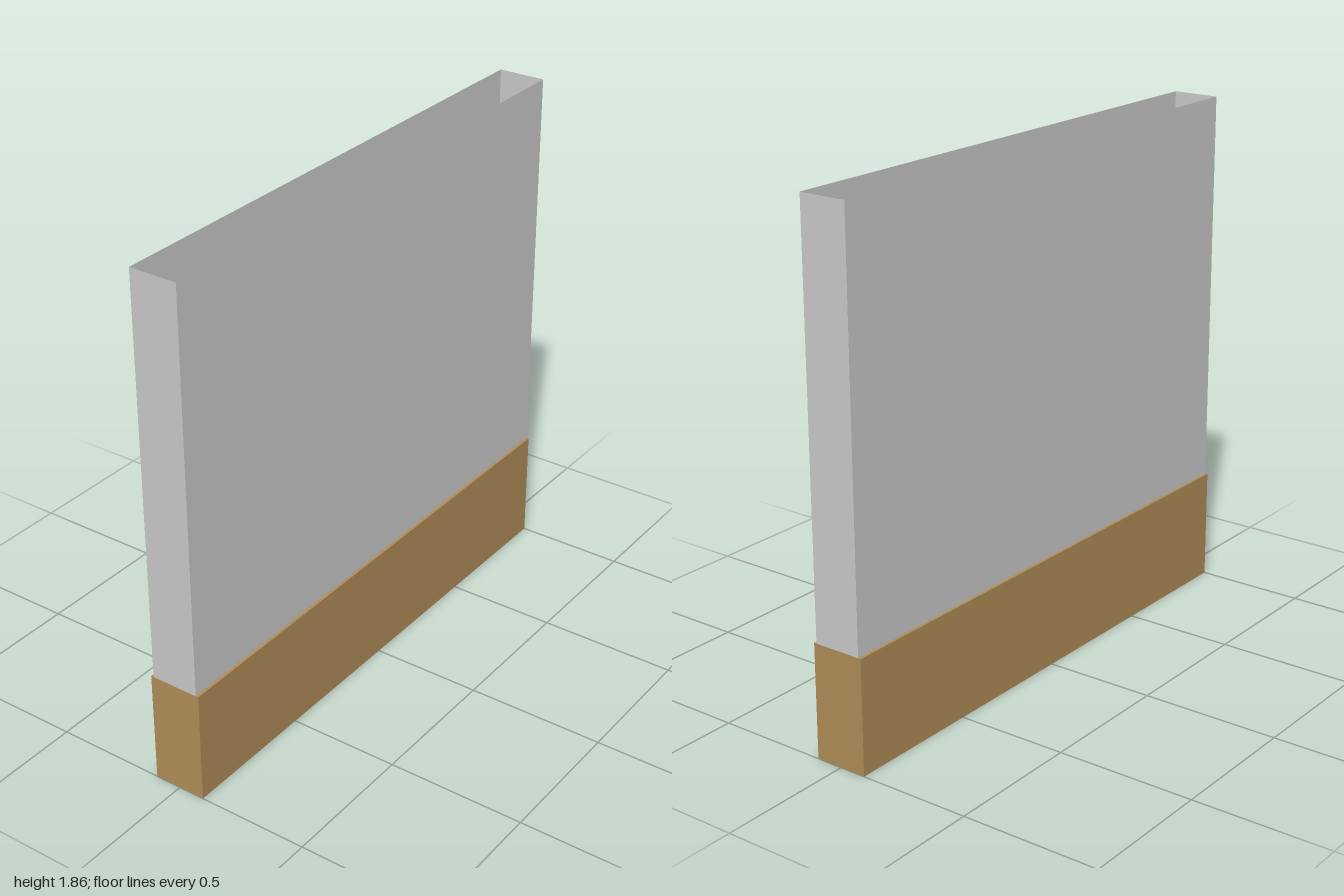
import * as THREE from 'three';

const HALF_LENGTH = 1;
const WALL_X = 0.087;   // half width of the upper wall
const BASE_X = 0.097;   // half width over the baseboards
const BASE_TOP = 0.41;
const TOP = 1.86;

const paint = new THREE.MeshStandardMaterial({ color: 0xcacaca, side: THREE.DoubleSide });
paint.name = 'grey wall';
const wood = new THREE.MeshStandardMaterial({ color: 0xb08d57, side: THREE.DoubleSide });
wood.name = 'brown baseboard';

// Upright sheet facing +z, spanning y0 to y1
function sheet(name, width, y0, y1, material) {
  const mesh = new THREE.Mesh(new THREE.PlaneGeometry(width, y1 - y0), material);
  mesh.position.y = (y0 + y1) / 2;
  mesh.name = name;
  return mesh;
}

export function createModel() {
  const group = new THREE.Group();
  group.name = 'wallSection';

  for (const s of [1, -1]) {
    const side = s > 0 ? 'left' : 'right';
    const end = s > 0 ? 'front' : 'back';

    // Long wall face
    const wall = sheet(side + 'Wall', 2 * HALF_LENGTH, BASE_TOP, TOP, paint);
    wall.rotation.y = s * Math.PI / 2;
    wall.position.x = s * WALL_X;

    // Long baseboard, standing proud of the wall
    const board = new THREE.Mesh(
      new THREE.BoxGeometry(BASE_X - WALL_X, BASE_TOP, 2 * HALF_LENGTH), wood);
    board.position.set(s * (WALL_X + BASE_X) / 2, BASE_TOP / 2, 0);
    board.name = side + 'Baseboard';

    // Narrow ends; the top and bottom stay open
    const wallEnd = sheet(end + 'WallEnd', 2 * WALL_X, BASE_TOP, TOP, paint);
    const boardEnd = sheet(end + 'BaseboardEnd', 2 * WALL_X, 0, BASE_TOP, wood);
    for (const part of [wallEnd, boardEnd]) {
      part.position.z = s * HALF_LENGTH;
      part.rotation.y = s > 0 ? 0 : Math.PI;
    }

    group.add(wall, board, wallEnd, boardEnd);
  }
  return group;
}
